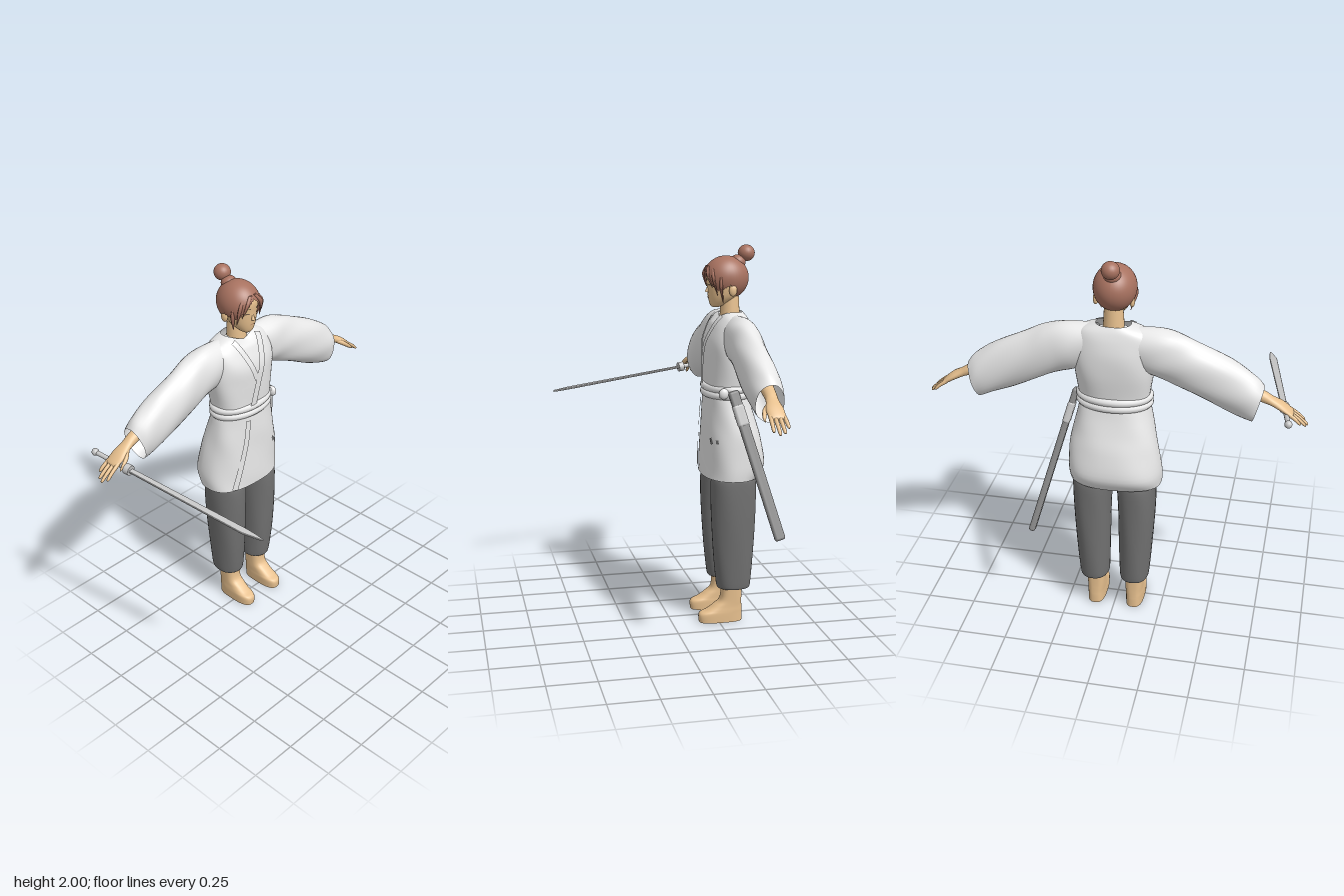
import * as THREE from 'three';
import { RoundedBoxGeometry } from 'three/addons/geometries/RoundedBoxGeometry.js';

const V = (x, y, z) => new THREE.Vector3(x, y, z);
const mat = (name, color, side = THREE.FrontSide) => {
  const m = new THREE.MeshStandardMaterial({ color, side });
  m.name = name;
  return m;
};

// Smoothly resample a short list of cross-sections
function sample(rows, n) {
  const out = [], last = rows.length - 1;
  for (let k = 0; k <= n; k++) {
    const t = (k / n) * last, i = Math.min(Math.floor(t), last - 1), f = t - i;
    const p0 = rows[Math.max(i - 1, 0)], p1 = rows[i], p2 = rows[i + 1], p3 = rows[Math.min(i + 2, last)];
    out.push(p1.map((b, j) => {
      const a = p0[j], c = p2[j], d = p3[j];
      return b + 0.5 * f * (c - a + f * (2 * a - 5 * b + 4 * c - d + f * (3 * (b - c) + d - a)));
    }));
  }
  return out;
}

// Skin rings [x, y, z, a, b] spread along axes u and v; u x v points along the path
function loft(rings, u, v, { exp = 2, segs = 32, caps = true, fold = 0 } = {}) {
  const list = rings.slice();
  if (caps) {
    const a = list[0], b = list[list.length - 1], flat = r => [r[0], r[1], r[2], 0, 0];
    list.unshift(flat(a), a);
    list.push(b, flat(b));
  }
  const pos = [], idx = [], pw = s => Math.sign(s) * Math.abs(s) ** (2 / exp);
  list.forEach(([x, y, z, a, b], j) => {
    for (let i = 0; i < segs; i++) {
      const t = (i / segs) * Math.PI * 2, k = 1 + fold * Math.sin(t * 5 + j * 0.45);
      const p = V(x, y, z).addScaledVector(u, a * k * pw(Math.cos(t))).addScaledVector(v, b * k * pw(Math.sin(t)));
      pos.push(p.x, p.y, p.z);
      if (j < list.length - 1) {
        const n = (i + 1) % segs, c = j * segs, d = c + segs;
        idx.push(c + i, c + n, d + i, c + n, d + n, d + i);
      }
    }
  });
  const g = new THREE.BufferGeometry();
  g.setAttribute('position', new THREE.Float32BufferAttribute(pos, 3));
  g.setIndex(idx);
  g.computeVertexNormals();
  return g;
}
// Upright rows: [y, cx, cz, halfX, halfZ]
const upright = (rows, opt) =>
  loft(rows.map(([y, x, z, rx, rz]) => [x, y, z, rz, rx]), V(0, 0, 1), V(1, 0, 0), opt);

// Front surface depth of an upright loft at x, y
function frontZ(rows, x, y, exp) {
  let i = 0;
  while (i < rows.length - 2 && rows[i + 1][0] < y) i++;
  const f = THREE.MathUtils.clamp((y - rows[i][0]) / (rows[i + 1][0] - rows[i][0]), 0, 1);
  const [cx, cz, rx, rz] = [1, 2, 3, 4].map(j => rows[i][j] + f * (rows[i + 1][j] - rows[i][j]));
  return cz + rz * Math.max(0, 1 - Math.abs((x - cx) / rx) ** exp) ** (1 / exp);
}
// Thin strip laid over the front of an upright loft
function strip(rows, exp, pts, width, off) {
  const curve = new THREE.CatmullRomCurve3(pts.map(([x, y]) => V(x, y, 0)));
  const g = new THREE.PlaneGeometry(1, 1, 24, 4), p = g.attributes.position;
  for (let i = 0; i < p.count; i++) {
    const t = p.getX(i) + 0.5, c = curve.getPoint(t), d = curve.getTangent(t), w = p.getY(i) * width;
    const x = c.x - d.y * w, y = c.y + d.x * w;
    p.setXYZ(i, x, y, frontZ(rows, x, y, exp) + off);
  }
  g.computeVertexNormals();
  return g;
}

export function createModel() {
  const root = new THREE.Group();
  root.name = 'swordFighter';
  const cloth = mat('white cloth', 0xf0f0f0, THREE.DoubleSide), trousers = mat('dark cloth', 0x717171);
  const skin = mat('skin', 0xedc592), hair = mat('hair', 0xa87260, THREE.DoubleSide);
  const steel = mat('steel', 0xc8c8c8), sheath = mat('scabbard grey', 0x8a8a8a);
  const dark = mat('dark detail', 0x6e5a48, THREE.DoubleSide), lip = mat('lips', 0xc99a76, THREE.DoubleSide);
  const add = (name, geo, m, parent = root) => {
    const mesh = new THREE.Mesh(geo, m);
    mesh.name = name;
    parent.add(mesh);
    return mesh;
  };
  const ball = (name, r, [x, y, z], [sx, sy, sz], m) => {
    const b = add(name, new THREE.SphereGeometry(r, 24, 16), m);
    b.position.set(x, y, z);
    b.scale.set(sx, sy, sz);
  };

  // Tunic body, its neckline dipping at the front
  const torso = sample([
    [0.795, -0.01, -0.322, 0.235, 0.143], [0.87, -0.007, -0.343, 0.236, 0.163], [1.0, 0, -0.334, 0.222, 0.15],
    [1.1, 0, -0.32, 0.203, 0.133], [1.2, 0, -0.308, 0.182, 0.115], [1.26, 0, -0.305, 0.175, 0.11],
    [1.4, 0, -0.312, 0.195, 0.122], [1.5, 0, -0.314, 0.203, 0.122], [1.58, 0, -0.322, 0.2, 0.1],
    [1.63, 0, -0.328, 0.165, 0.078], [1.66, 0, -0.33, 0.085, 0.058]], 50);
  const tunic = upright(torso, { exp: 2.4, segs: 48, caps: false, fold: 0.008 }), tp = tunic.attributes.position;
  for (let i = 0; i < tp.count; i++) {
    const y = tp.getY(i), front = Math.max(0, (tp.getZ(i) + 0.33) / 0.058) * Math.max(0, 1 - Math.abs(tp.getX(i)) / 0.09);
    if (y > 1.6) tp.setY(i, y - Math.min(1, front) * 0.5 * (y - 1.6));
  }
  tunic.computeVertexNormals();
  add('tunic', tunic, cloth);
  add('undershirt', new THREE.SphereGeometry(0.085, 24, 12).scale(1, 0.35, 0.66).translate(0, 1.618, -0.328), cloth);
  const lay = (name, pts, w, m, off = 0.006) => add(name, strip(torso, 2.4, pts, w, off), m);
  lay('rightLapel', [[-0.085, 1.645], [-0.045, 1.55], [0.0, 1.43]], 0.03, cloth, 0.009);
  lay('leftLapel', [[0.085, 1.645], [0.045, 1.52], [0.0, 1.38], [-0.025, 1.28]], 0.04, cloth, 0.011);
  lay('skirtOverlap', [[-0.06, 1.2], [-0.09, 1.05], [-0.165, 0.805]], 0.03, cloth, 0.009);
  lay('tear', [[0.125, 1.015], [0.14, 0.985]], 0.018, trousers);
  lay('tear', [[0.17, 1.01], [0.175, 0.99]], 0.014, trousers);

  // Belt of two cords with a knot
  for (const y of [1.236, 1.27]) {
    const pts = [];
    for (let i = 0; i < 20; i++) {
      const a = (i / 20) * Math.PI * 2;
      pts.push(V(0.174 * Math.sin(a), y, -0.307 + 0.11 * Math.cos(a)));
    }
    add('belt', new THREE.TubeGeometry(new THREE.CatmullRomCurve3(pts, true), 60, 0.02, 10, true), cloth);
  }
  ball('beltKnot', 0.026, [0.183, 1.255, -0.25], [0.7, 1.1, 1], cloth);

  for (const s of [1, -1]) {
    const side = s > 0 ? 'left' : 'right';
    const along = (rows, opt, n = 20) => loft(sample(rows, n).map(([x, y, z, a, b]) => [s * x, y, z, a, b]),
      V(s * 0.27, 0.96, 0), V(0, 0, s), opt);

    // Wide sleeve
    add(side + 'Sleeve', along([[0.06, 1.56, -0.33, 0.09, 0.065], [0.2, 1.53, -0.33, 0.122, 0.085],
      [0.3, 1.502, -0.33, 0.127, 0.084], [0.4, 1.457, -0.328, 0.125, 0.084], [0.55, 1.388, -0.327, 0.126, 0.085],
      [0.66, 1.33, -0.332, 0.112, 0.08], [0.706, 1.297, -0.335, 0.097, 0.07]], { caps: false, fold: 0.015 }, 36), cloth);

    // Forearm, palm and fingers
    add(side + 'Hand', along([[0.58, 1.4, -0.33, 0.036, 0.038], [0.72, 1.342, -0.33, 0.029, 0.031],
      [0.77, 1.318, -0.327, 0.022, 0.032], [0.82, 1.292, -0.323, 0.02, 0.043], [0.865, 1.262, -0.325, 0.014, 0.04],
      [0.875, 1.255, -0.325, 0.006, 0.03]], { segs: 20 }), skin);
    [[-0.356, -0.364, 0.915], [-0.335, -0.339, 0.94], [-0.313, -0.314, 0.948], [-0.292, -0.288, 0.932]].forEach(([z0, z1, x]) => {
      const y = 1.262 - (x - 0.86) * 0.72;
      add(side + 'Finger', along([[0.85, 1.27, z0, 0.011, 0.01], [(0.85 + x) / 2, (1.277 + y) / 2, (z0 + z1) / 2, 0.01, 0.01],
        [x - 0.008, y + 0.006, z1, 0.008, 0.008], [x, y, z1, 0.003, 0.003]], { segs: 10 }, 10), skin);
    });
    add(side + 'Thumb', along([[0.775, 1.31, -0.31, 0.013, 0.014], [0.81, 1.288, -0.28, 0.013, 0.013],
      [0.845, 1.262, -0.267, 0.01, 0.009], [0.865, 1.246, -0.266, 0.003, 0.003]], { segs: 10 }, 10), skin);

    // Trouser leg
    add(side + 'TrouserLeg', upright(sample([[0.19, s * 0.106, -0.332, 0.07, 0.085], [0.22, s * 0.107, -0.332, 0.077, 0.093],
      [0.4, s * 0.112, -0.327, 0.087, 0.108], [0.6, s * 0.116, -0.325, 0.095, 0.118], [0.76, s * 0.114, -0.325, 0.1, 0.12],
      [0.82, s * 0.108, -0.325, 0.099, 0.108], [0.95, s * 0.095, -0.325, 0.085, 0.09]], 28), { exp: 2.2, fold: 0.008 }), trousers);

    // Foot and ankle
    add(side + 'Foot', upright(sample([[0, s * 0.104, -0.263, 0.047, 0.117], [0.045, s * 0.104, -0.263, 0.048, 0.117],
      [0.065, s * 0.104, -0.282, 0.047, 0.097], [0.09, s * 0.103, -0.301, 0.046, 0.077], [0.13, s * 0.103, -0.32, 0.046, 0.057],
      [0.23, s * 0.103, -0.322, 0.049, 0.055]], 24), { exp: 2.8 }), skin);

    // Ear
    ball(side + 'Ear', 0.026, [s * 0.088, 1.772, -0.318], [0.5, 1.15, 0.8], skin);
  }

  // Neck and head
  add('neck', new THREE.CylinderGeometry(0.045, 0.054, 0.14, 24).translate(0, 1.68, -0.325), skin);
  const head = sample([[1.684, 0, -0.25, 0.022, 0.022], [1.7, 0, -0.26, 0.042, 0.042], [1.74, 0, -0.285, 0.067, 0.076],
    [1.8, 0, -0.297, 0.081, 0.094], [1.86, 0, -0.303, 0.085, 0.1], [1.92, 0, -0.305, 0.05, 0.06]], 30);
  add('head', upright(head, { exp: 2.1 }), skin);
  const nose = add('nose', new THREE.ConeGeometry(0.011, 0.045, 12), skin);
  nose.position.set(0, 1.782, -0.206);
  nose.rotation.x = -0.2;
  const face = (name, pts, w, m) => add(name, strip(head, 2.1, pts, w, 0.003), m);
  face('mouth', [[-0.015, 1.733], [0, 1.735], [0.015, 1.733]], 0.006, lip);
  for (const s of [1, -1]) {
    face('eye', [[s * 0.023, 1.797], [s * 0.034, 1.8], [s * 0.046, 1.797]], 0.006, dark);
    face('eyebrow', [[s * 0.018, 1.823], [s * 0.034, 1.829], [s * 0.052, 1.824]], 0.004, dark);
  }

  // Hair cap whose lower edge follows the hairline (angle from front, edge height)
  const line = [[0, 1.872], [0.25, 1.852], [0.55, 1.815], [0.9, 1.765], [1.25, 1.775], [1.6, 1.795], [2.1, 1.74], [3.15, 1.722]];
  const edge = a => {
    let i = 0;
    while (i < line.length - 2 && line[i + 1][0] < a) i++;
    return THREE.MathUtils.mapLinear(a, line[i][0], line[i + 1][0], line[i][1], line[i + 1][1]);
  };
  const cap = new THREE.SphereGeometry(1, 48, 24), cp = cap.attributes.position, uv = cap.attributes.uv;
  for (let i = 0; i < cp.count; i++) {
    const a = (uv.getX(i) - 0.5) * Math.PI * 2, end = Math.acos((edge(Math.abs(a)) - 1.832) / 0.113);
    const t = (1 - uv.getY(i)) * end, r = Math.sin(t);
    cp.setXYZ(i, -0.003 + 0.105 * r * Math.sin(a), 1.832 + 0.113 * Math.cos(t), -0.303 + 0.119 * r * Math.cos(a));
  }
  cap.computeVertexNormals();
  add('hair', cap, hair);

  // Fringe and side locks: root, middle, tip, half-width
  const locks = [[0.015, 1.895, -0.205, 0.048, 1.85, -0.195, 0.066, 1.785, -0.215, 0.013],
    [0.05, 1.88, -0.22, 0.076, 1.83, -0.218, 0.08, 1.745, -0.24, 0.014],
    [0.08, 1.85, -0.255, 0.091, 1.785, -0.255, 0.072, 1.705, -0.272, 0.014]];
  for (const s of [1, -1]) {
    for (const [a, b, c, d, e, f, g, h, k, w] of locks) {
      add('hairLock', loft(sample([[s * g, h, k, 0.001, 0.001], [s * d, e, f, w * 0.55, w], [s * a, b, c, w * 0.5, w * 0.8]], 10),
        V(0, 0, 1), V(1, 0, 0), { segs: 10 }), hair);
    }
  }
  ball('topKnotBase', 0.042, [-0.003, 1.912, -0.365], [1, 0.9, 1], hair);
  ball('topKnot', 0.044, [-0.004, 1.957, -0.411], [1, 0.97, 1], hair);

  // Sword, built along its own z from the pommel
  const sword = new THREE.Group();
  sword.name = 'sword';
  sword.position.set(-0.86, 1.27, -0.455);
  sword.lookAt(-0.705, 1.147, 0.525);
  root.add(sword);
  const rod = (r, len, z) => new THREE.CylinderGeometry(r, r, len, 20).rotateX(Math.PI / 2).translate(0, 0, z);
  add('pommel', new THREE.SphereGeometry(0.019, 16, 12), steel, sword);
  add('grip', rod(0.012, 0.21, 0.105), steel, sword);
  add('guard', rod(0.027, 0.03, 0.21), steel, sword);
  const outline = new THREE.Shape([[-0.013, 0.2], [0.013, 0.2], [0.018, 0.9], [0.014, 0.96], [0.008, 1.0], [0.002, 0.995], [-0.018, 0.9]]
    .map(([x, y]) => new THREE.Vector2(x, y)));
  add('blade', new THREE.ExtrudeGeometry(outline, { depth: 0.006, bevelSize: 0.002, bevelThickness: 0.002, bevelSegments: 1 })
    .translate(0, 0, -0.003).rotateX(Math.PI / 2), steel, sword);

  // Scabbard hanging from the belt on the left hip
  const scabbard = new THREE.Group();
  scabbard.name = 'scabbard';
  const top = V(0.195, 1.27, -0.295), dir = V(0.4, 0.525, -0.5).sub(top), len = dir.length();
  scabbard.position.copy(top);
  scabbard.quaternion.setFromUnitVectors(V(0, -1, 0), dir.normalize());
  root.add(scabbard);
  add('scabbardBody', new RoundedBoxGeometry(0.032, len, 0.056, 3, 0.013).translate(0, -len / 2, 0), sheath, scabbard);
  add('scabbardWrap', new RoundedBoxGeometry(0.038, 0.12, 0.062, 3, 0.016).translate(0, -0.13, 0), steel, scabbard);
  return root;
}
